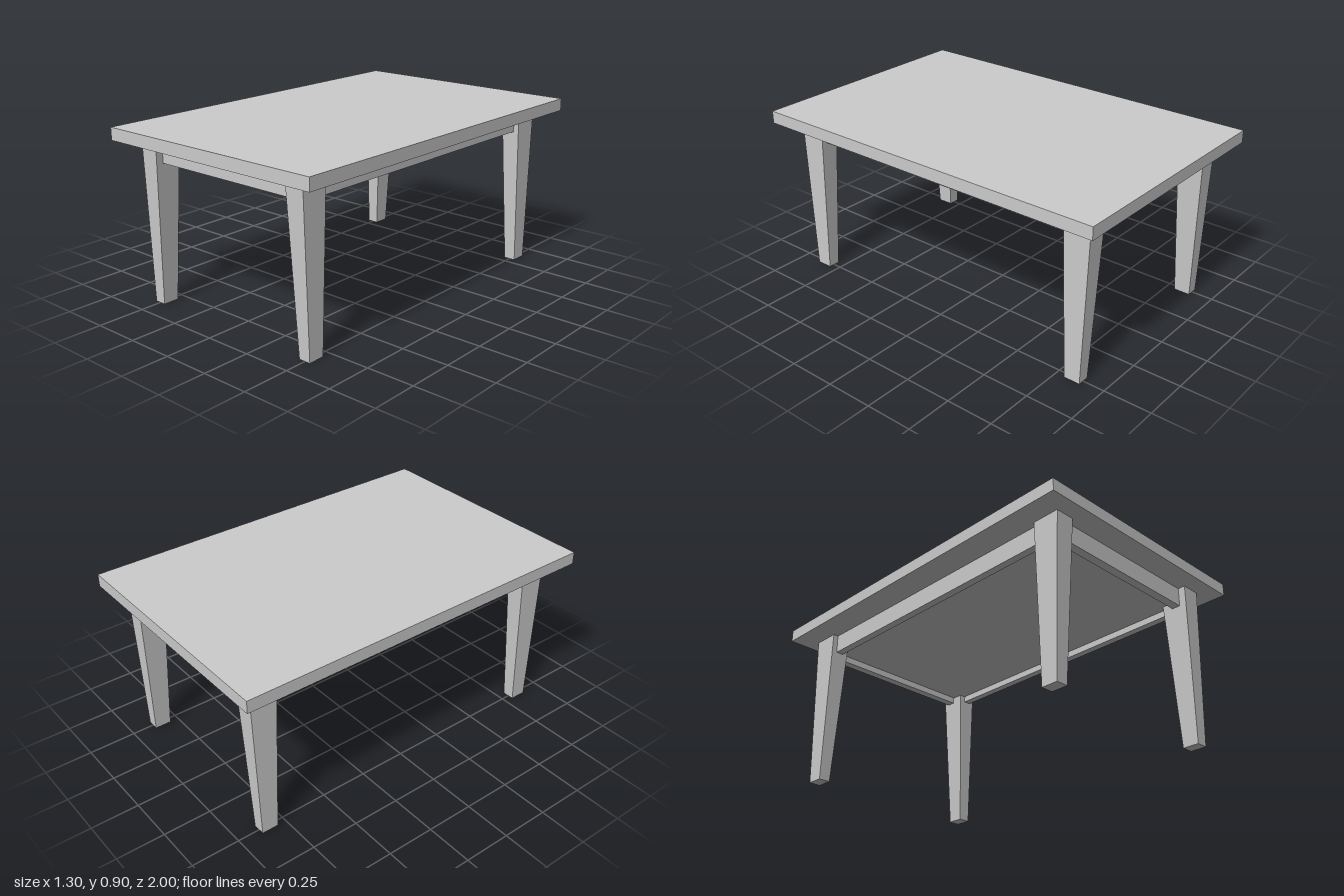
import * as THREE from 'three';

const material = new THREE.MeshStandardMaterial({ color: 0xcccccc, flatShading: true });

// Box given by its size and centre
function box(name, w, h, d, x, y, z) {
  const mesh = new THREE.Mesh(new THREE.BoxGeometry(w, h, d), material);
  mesh.name = name;
  mesh.position.set(x, y, z);
  return mesh;
}

// Tapered leg: outer x face is vertical, the other three sides slope in
function leg(name, sx, sz) {
  const height = 0.84;
  const geometry = new THREE.BoxGeometry(1, height, 1);
  const p = geometry.attributes.position;
  for (let i = 0; i < p.count; i++) {
    const top = p.getY(i) > 0;
    const outer = p.getX(i) * sx > 0;
    const far = p.getZ(i) * sz > 0;
    const x = outer ? 0.53 : top ? 0.426 : 0.467;
    const z = far ? (top ? 0.913 : 0.884) : (top ? 0.768 : 0.797);
    p.setXYZ(i, sx * x, p.getY(i) + height / 2, sz * z);
  }
  geometry.computeVertexNormals();
  const mesh = new THREE.Mesh(geometry, material);
  mesh.name = name;
  return mesh;
}

export function createModel() {
  const table = new THREE.Group();
  table.name = 'table';

  table.add(box('tabletop', 1.3, 0.065, 2, 0, 0.8725, 0));

  // Panel under the top, enclosed by the rails
  table.add(box('underPanel', 0.93, 0.065, 1.66, 0, 0.8075, 0));

  for (const s of [1, -1]) {
    const end = s > 0 ? 'front' : 'back';
    const side = s > 0 ? 'left' : 'right';
    // Apron rails, set back from the outer leg faces
    table.add(box(end + 'Rail', 0.852, 0.1, 0.045, 0, 0.79, s * 0.852));
    table.add(box(side + 'Rail', 0.04, 0.1, 1.536, s * 0.482, 0.79, 0));
    for (const t of [1, -1]) {
      table.add(leg(end + (t > 0 ? 'Left' : 'Right') + 'Leg', t, s));
    }
  }
  return table;
}
